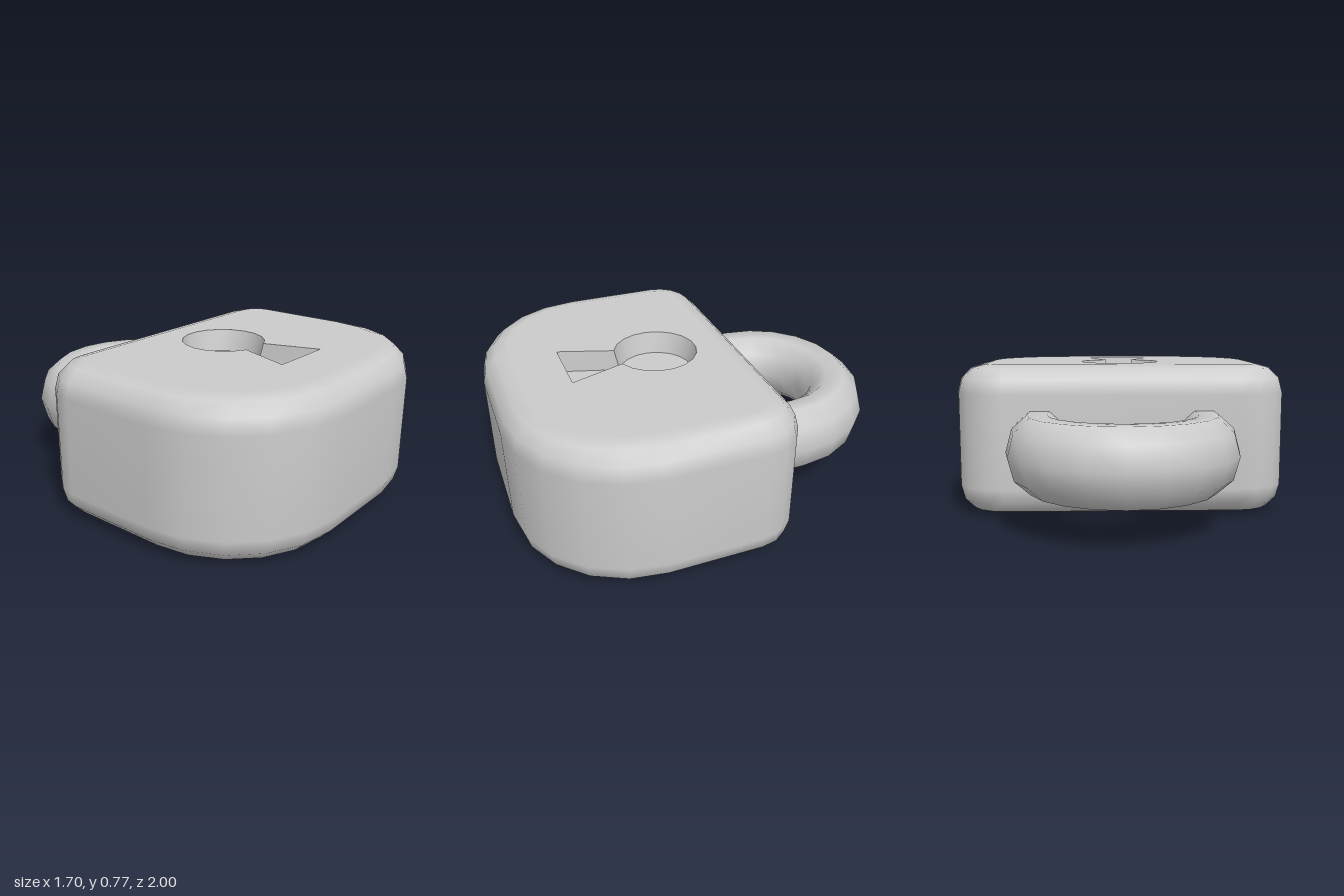
import * as THREE from 'three';
import { toCreasedNormals } from 'three/addons/utils/BufferGeometryUtils.js';

const HEIGHT = 0.77, BEVEL = 0.145, DEPTH = 0.11;

// Skin closed rings of [x, y, z] points, one after another
function loft(rings) {
  const n = rings[0].length, index = [];
  for (let i = 0; i < rings.length - 1; i++) {
    for (let j = 0; j < n; j++) {
      const a = i * n + j, b = i * n + (j + 1) % n;
      index.push(a, a + n, b, b, a + n, b + n);
    }
  }
  const g = new THREE.BufferGeometry();
  g.setAttribute('position', new THREE.Float32BufferAttribute(rings.flat(2), 3));
  g.setIndex(index);
  g.computeVertexNormals();
  return g;
}

// Flat horizontal face from [x, z] points, facing up (dir 1) or down (dir -1)
function face(points, y, dir, hole) {
  const flat = (p) => p.map(([x, z]) => new THREE.Vector2(x, -dir * z));
  const shape = new THREE.Shape(flat(points));
  if (hole) shape.holes.push(new THREE.Path(flat(hole)));
  return new THREE.ShapeGeometry(shape).rotateX(-dir * Math.PI / 2).translate(0, y, 0);
}

// Body outline: broad front corners, tighter back corners
function outline(inset) {
  const pts = [];
  const corner = (cx, cz, rx, rz, start, segs) => {
    for (let i = 0; i <= segs; i++) {
      const a = start + (i / segs) * Math.PI / 2;
      pts.push([cx + Math.cos(a) * (rx - inset), cz + Math.sin(a) * (rz - inset)]);
    }
  };
  corner(0.25, 0.4, 0.6, 0.6, 0, 5);
  corner(-0.25, 0.4, 0.6, 0.6, Math.PI / 2, 5);
  corner(-0.6, -0.08, 0.25, 0.23, Math.PI, 4);
  corner(0.6, -0.08, 0.25, 0.23, Math.PI * 1.5, 4);
  return pts;
}

// Keyhole outline: round head with a flared slot
function keyhole(radius, halfWidth, endZ) {
  const pts = [], neck = 0.353, segs = 17;
  for (let i = 0; i <= segs; i++) {
    const a = neck + (Math.PI * 2 - neck * 2) * i / segs;
    pts.push([Math.sin(a) * radius, 0.16 + Math.cos(a) * radius]);
  }
  pts.push([-halfWidth, endZ], [halfWidth, endZ]);
  return pts;
}

const atHeight = (pts, y) => pts.map(([x, z]) => [x, y, z]);

export function createModel() {
  const model = new THREE.Group();
  model.name = 'padlock';
  const material = new THREE.MeshStandardMaterial({ color: 0xcccccc });
  const add = (parent, name, geometry) => {
    const mesh = new THREE.Mesh(geometry, material);
    mesh.name = name;
    parent.add(mesh);
  };

  // Body sides with rounded bottom and top edges
  const body = new THREE.Group();
  body.name = 'body';
  model.add(body);
  const rings = [];
  for (let i = 0; i < 8; i++) {
    const top = i > 3;
    const a = (top ? i - 4 : 3 - i) * Math.PI / 6;
    const rise = BEVEL * (1 - Math.sin(a));
    rings.push(atHeight(outline(BEVEL * (1 - Math.cos(a))), top ? HEIGHT - rise : rise));
  }
  const sides = loft(rings);
  // The rounding runs smoothly into the flat faces
  const count = rings[0].length, normals = sides.attributes.normal;
  for (let j = 0; j < count; j++) {
    normals.setXYZ(j, 0, -1, 0);
    normals.setXYZ(7 * count + j, 0, 1, 0);
  }
  add(body, 'bodySides', sides);

  // Flat faces, with the keyhole cut in the upper one
  const rim = keyhole(0.21, 0.165, 0.63);
  const floor = keyhole(0.185, 0.15, 0.615);
  add(body, 'bodyTop', face(outline(BEVEL), HEIGHT, 1, rim));
  add(body, 'bodyBottom', face(outline(BEVEL), 0, -1));

  // Sunken keyhole with slightly sloping walls
  const walls = loft([atHeight(floor, HEIGHT - DEPTH), atHeight(rim, HEIGHT)]);
  add(body, 'keyholeWalls', toCreasedNormals(walls, 0.6));
  add(body, 'keyholeFloor', face(floor, HEIGHT - DEPTH, 1));

  // Shackle: ten-sided bar bent over a half circle, with legs into the body
  const bar = (cx, cz, a) => Array.from({ length: 10 }, (_, k) => {
    const t = k * Math.PI / 5, out = Math.cos(t) * 0.155;
    return [cx + Math.cos(a) * out, 0.365 + Math.sin(t) * 0.19, cz - Math.sin(a) * out];
  });
  const bend = [bar(0.41, -0.27, 0)];
  for (let i = 0; i <= 10; i++) {
    const a = i * Math.PI / 10;
    bend.push(bar(Math.cos(a) * 0.41, -0.445 - Math.sin(a) * 0.4, a));
  }
  bend.push(bar(-0.41, -0.27, Math.PI));
  add(model, 'shackle', loft(bend));

  return model;
}
